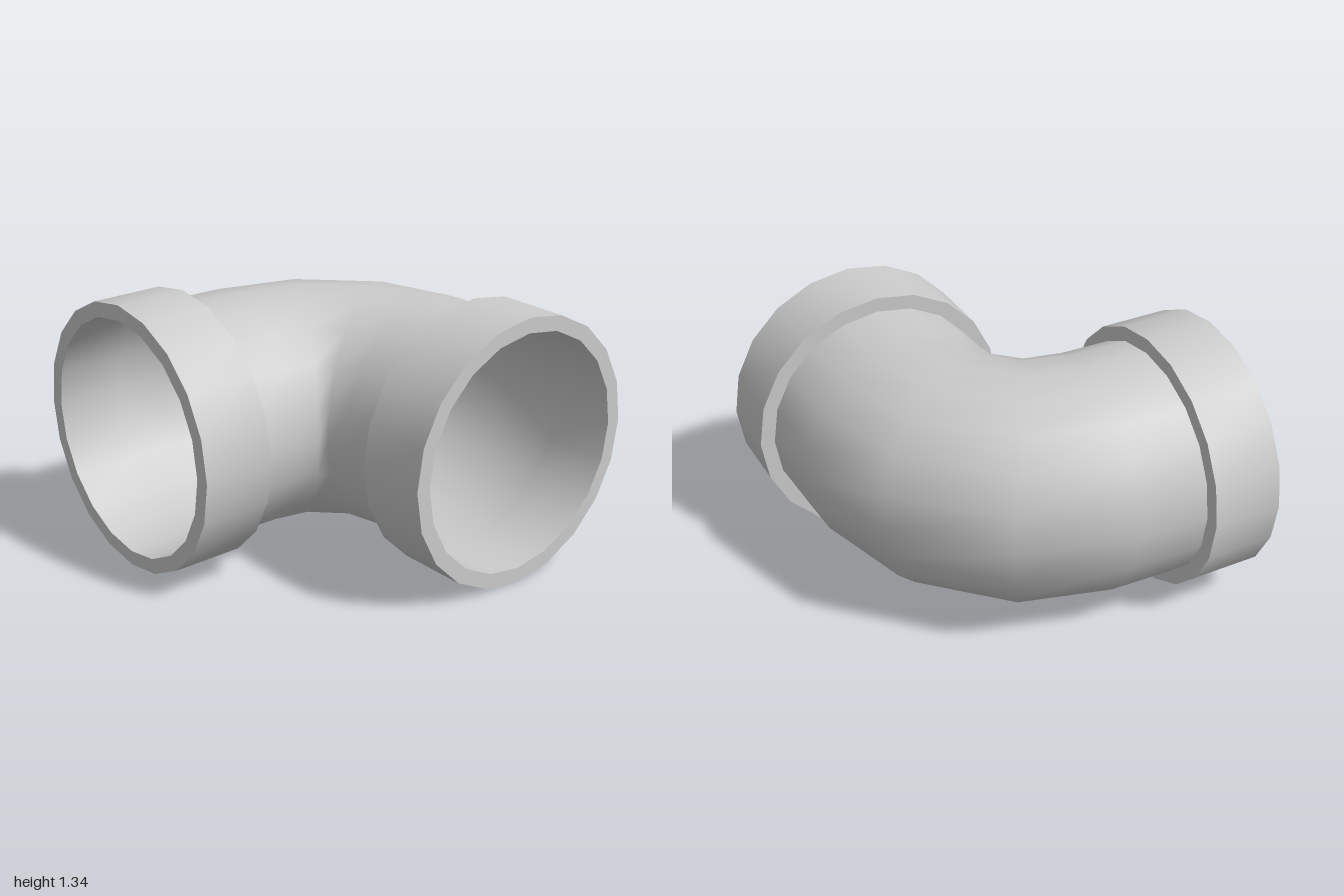
import * as THREE from 'three';
import { toCreasedNormals } from 'three/addons/utils/BufferGeometryUtils.js';

const SIDES = 20, AXIS_Y = 0.67, OFFSET = 0.33, BORE = 0.595, RIM = 0.67, COLLAR = 0.36;

// Elbow skin: tilted rings along a quarter turn, second half mirrored
function elbowGeometry() {
  const half = [ // centre x, centre z, tilt in degrees
    [-0.64, -0.33, 0],
    [-0.337, -0.322, 7],
    [-0.012, -0.236, 30],
  ];
  const rings = [...half, ...half.map(([x, z, a]) => [-z, -x, 90 - a]).reverse()];
  const positions = [], index = [];
  rings.forEach(([x, z, deg], i) => {
    const a = THREE.MathUtils.degToRad(deg);
    for (let j = 0; j < SIDES; j++) {
      const t = (j / SIDES) * Math.PI * 2;
      const out = BORE * Math.cos(t);
      positions.push(x + out * Math.sin(a), AXIS_Y + BORE * Math.sin(t), z - out * Math.cos(a));
      if (i === rings.length - 1) continue;
      const k = (j + 1) % SIDES, p = i * SIDES, q = p + SIDES;
      index.push(p + j, p + k, q + j, p + k, q + k, q + j);
    }
  });
  const geometry = new THREE.BufferGeometry();
  geometry.setAttribute('position', new THREE.Float32BufferAttribute(positions, 3));
  geometry.setIndex(index);
  geometry.computeVertexNormals();
  return geometry;
}

// Thick socket ring, extending along +y from its inner shoulder
function collarGeometry() {
  const profile = [[BORE, 0], [RIM, 0], [RIM, COLLAR], [BORE, COLLAR], [BORE, 0]]
    .map(([r, y]) => new THREE.Vector2(r, y));
  return toCreasedNormals(new THREE.LatheGeometry(profile, SIDES), 0.6);
}

export function createModel() {
  const group = new THREE.Group();
  group.name = 'pipeElbow';
  const material = new THREE.MeshStandardMaterial({ color: 0xcccccc, side: THREE.DoubleSide });

  const add = (name, geometry) => {
    const mesh = new THREE.Mesh(geometry, material);
    mesh.name = name;
    group.add(mesh);
    return mesh;
  };

  add('elbowPipe', elbowGeometry());

  // Sockets at both ends
  const front = add('frontCollar', collarGeometry());
  front.rotation.x = Math.PI / 2;
  front.position.set(OFFSET, AXIS_Y, 1 - COLLAR);

  const side = add('sideCollar', collarGeometry());
  side.rotation.z = Math.PI / 2;
  side.position.set(COLLAR - 1, AXIS_Y, -OFFSET);

  return group;
}
